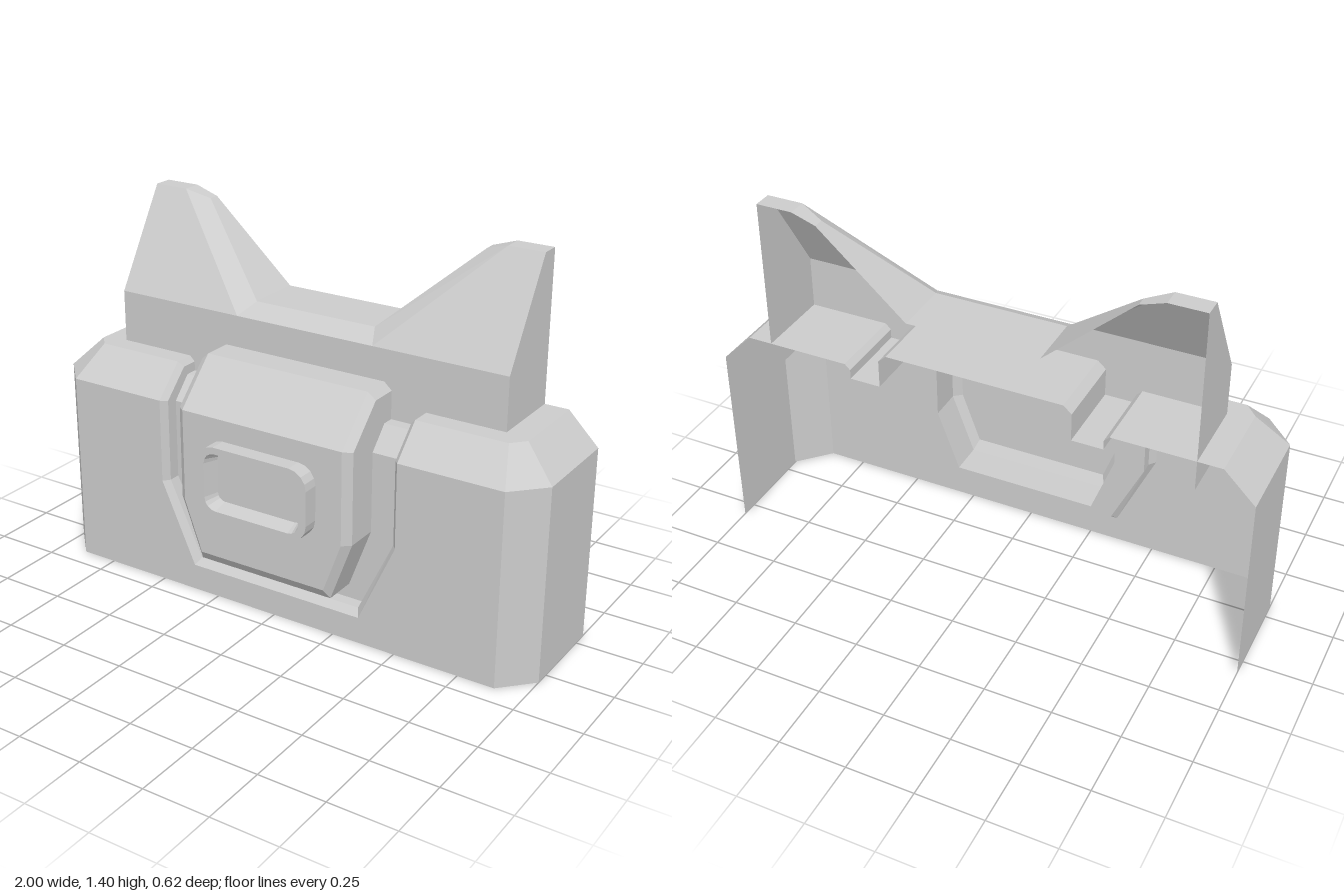
import * as THREE from 'three';

const material = new THREE.MeshStandardMaterial({ color: 0xcccccc, flatShading: true, side: THREE.DoubleSide });

// Collects flat quads, optionally mirrored across x = 0
function shell(name, mirrored, build) {
  const pos = [];
  const tri = (a, b, c) => pos.push(...a, ...b, ...c);
  const flip = ([x, y, z]) => [-x, y, z];
  const quad = (a, b, c, d) => {
    tri(a, b, c); tri(a, c, d);
    if (mirrored) {
      tri(flip(a), flip(c), flip(b)); tri(flip(a), flip(d), flip(c));
    }
  };
  // Skin between two rails of equal length
  const loft = (r, s, from = 0) => {
    for (let i = from; i < r.length - 1; i++) quad(r[i], s[i], s[i + 1], r[i + 1]);
  };
  build(loft, quad);
  const geo = new THREE.BufferGeometry();
  geo.setAttribute('position', new THREE.Float32BufferAttribute(pos, 3));
  geo.computeVertexNormals();
  const mesh = new THREE.Mesh(geo, material);
  mesh.name = name;
  return mesh;
}

const BACK = -0.31;

// Half outline: bottom centre, bottom corner, side, front top, slope top, back
const rail = (xb, yb, xs, z, y1, y2, z2) => [
  [0, yb, z], [xb, yb, z], [xs, 0.41, z], [xs, y1, z], [xs, y2, z2], [xs, y2, BACK],
];

const bodyEdge = rail(0.355, 0.10, 0.495, 0.17, 0.73, 0.845, 0.055);
const grooveLip = rail(0.34, 0.125, 0.475, 0.145, 0.725, 0.825, 0.045);
const grooveOuter = rail(0.34, 0.125, 0.475, 0.10, 0.71, 0.79, 0.025);
const grooveInner = rail(0.275, 0.18, 0.36, 0.10, 0.71, 0.79, 0.025);
const panelSide = rail(0.275, 0.18, 0.36, 0.225, 0.755, 0.895, 0.085);
const panelEdge = rail(0.26, 0.218, 0.33, 0.25, 0.76, 0.922, 0.09);
const panelMiddle = panelEdge.map(([, y, z]) => [0, y, z]);

// Outer casing rails: front face border, corner chamfer, rear edge
const frontBorder = [
  [0, 0, 0.17], [0.89, 0, 0.17], [0.89, 0.41, 0.17],
  [0.89, 0.73, 0.17], [0.84, 0.845, 0.055], [0.84, 0.845, BACK],
];
const cornerChamfer = [
  [1, 0, 0.055], [1, 0, 0.055], [1, 0.41, 0.055],
  [1, 0.73, 0.055], [0.885, 0.845, 0.005], [0.885, 0.845, BACK],
];
const rearEdge = cornerChamfer.map(([x, y]) => [x, y, BACK]);

// Rounded rectangle ring around the window centre
function roundedRing(hw, hh, r, z, cy = 0.545, steps = 4) {
  const pts = [];
  [[1, 1], [-1, 1], [-1, -1], [1, -1]].forEach(([sx, sy], k) => {
    for (let i = 0; i <= steps; i++) {
      const a = (k + i / steps) * Math.PI / 2;
      pts.push([sx * (hw - r) + r * Math.cos(a), cy + sy * (hh - r) + r * Math.sin(a), z]);
    }
  });
  pts.push(pts[0]);
  return pts;
}

export function createModel() {
  const group = new THREE.Group();

  // Casing, open at the back and bottom
  group.add(shell('casing', true, (loft) => {
    loft(frontBorder, bodyEdge);
    loft(cornerChamfer, frontBorder, 1);
    loft(rearEdge, cornerChamfer, 1);
  }));

  // Groove around the centre panel
  group.add(shell('panelGroove', true, (loft) => {
    loft(bodyEdge, grooveLip);
    loft(grooveLip, grooveOuter);
    loft(grooveOuter, grooveInner);
  }));

  // Raised centre panel with bevelled border
  group.add(shell('centrePanel', true, (loft) => {
    loft(grooveInner, panelSide);
    loft(panelSide, panelEdge);
    loft(panelEdge, panelMiddle);
  }));

  // Window frame with a tapered recess
  group.add(shell('windowFrame', false, (loft) => {
    const rings = [
      roundedRing(0.227, 0.135, 0.07, 0.25),
      roundedRing(0.227, 0.135, 0.07, 0.31),
      roundedRing(0.197, 0.11, 0.045, 0.31),
      roundedRing(0.178, 0.093, 0.03, 0.255),
    ];
    rings.push(rings[3].map(() => [0, 0.545, 0.255]));
    for (let i = 0; i < rings.length - 1; i++) loft(rings[i], rings[i + 1]);
  }));

  // Rear crest with two raised horns, hollow behind
  group.add(shell('crest', true, (loft, quad) => {
    const base = 0.73, x = 0.795;
    const front = [[x, 1.4, -0.24], [0.66, 1.4, -0.24], [0.66, 1.4, -0.24], [0.28, 1.04, -0.02], [0, 1.04, -0.02]];
    const ridge = [[x, 1.4, -0.24], [0.66, 1.4, -0.24], [0.57, 1.37, -0.27], [0.245, 1.08, -0.095], [0, 1.08, -0.095]];
    const rear = ridge.map(([px, py]) => [px, py, BACK]);
    loft(front, ridge, 1);
    loft(ridge, rear);
    // Sloped horn face and upright front
    quad([x, 1.04, -0.02], front[0], front[1], front[3]);
    quad([0, base, -0.02], [x, base, -0.02], [x, 1.04, -0.02], [0, 1.04, -0.02]);
    // Side wall
    quad([x, base, -0.02], [x, base, BACK], [x, 1.04, BACK], [x, 1.04, -0.02]);
    quad([x, 1.04, -0.02], [x, 1.04, BACK], [x, 1.4, BACK], front[0]);
  }));

  return group;
}
